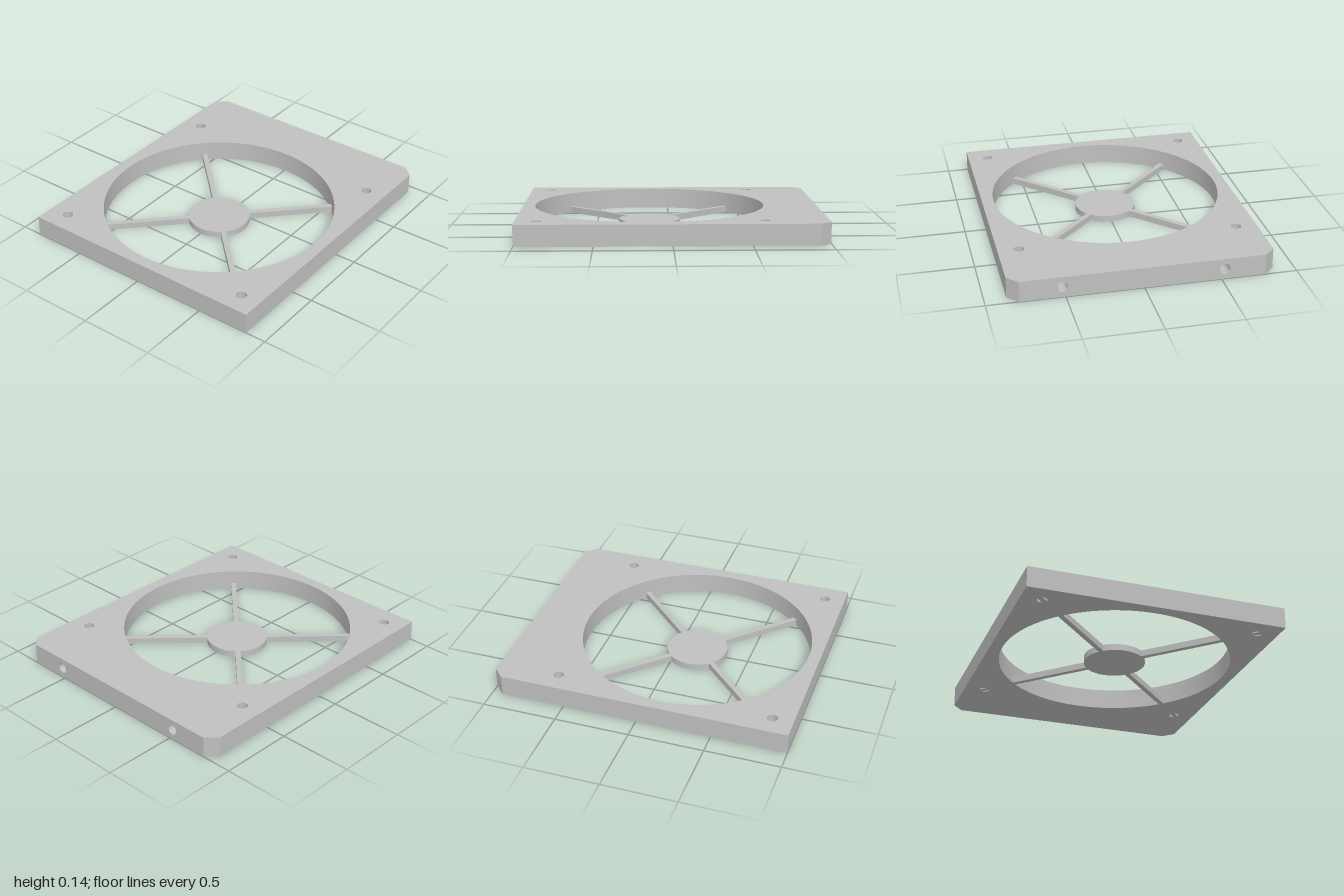
import * as THREE from 'three';
import { toCreasedNormals } from 'three/addons/utils/BufferGeometryUtils.js';

const HEIGHT = 0.14, HALF_Z = 0.86, CHAMFER = 0.07;
const CENTRE_X = -0.14, OPENING_R = 0.78;
const HUB_R = 0.207, SPOKE_H = 0.043, SPOKE_W = 0.035;
const SCREW_OFFSET = 0.722, HOLE_R = 0.034;
const SIDE_HOLE_Z = 0.52, SIDE_HOLE_R = 0.035, SIDE_HOLE_DEPTH = 0.14;

function circle(x, y, r) {
  return new THREE.Path().absarc(x, y, r, 0, Math.PI * 2, true);
}

// Removes the triangles lying in the plane x = 1
function dropSideFace(geometry) {
  const p = geometry.attributes.position, kept = [];
  for (let i = 0; i < p.count; i += 3) {
    if ([0, 1, 2].every(k => p.getX(i + k) > 0.9999)) continue;
    for (let k = 0; k < 3; k++) kept.push(p.getX(i + k), p.getY(i + k), p.getZ(i + k));
  }
  const result = new THREE.BufferGeometry();
  result.setAttribute('position', new THREE.Float32BufferAttribute(kept, 3));
  result.computeVertexNormals();
  return result;
}

export function createModel() {
  const group = new THREE.Group();
  group.name = 'fanFrame';
  const grey = new THREE.MeshStandardMaterial({ color: 0xc0c0c0 });
  grey.name = 'grey';

  function add(name, geometry, parent = group) {
    const mesh = new THREE.Mesh(geometry, grey);
    mesh.name = name;
    parent.add(mesh);
    return mesh;
  }

  // Plate with two cut corners, a round opening and four screw holes
  const outline = new THREE.Shape([
    [-1, -HALF_Z], [1 - CHAMFER, -HALF_Z], [1, -HALF_Z + CHAMFER],
    [1, HALF_Z - CHAMFER], [1 - CHAMFER, HALF_Z], [-1, HALF_Z],
  ].map(([x, y]) => new THREE.Vector2(x, y)));
  outline.holes.push(circle(CENTRE_X, 0, OPENING_R));
  for (const sx of [-1, 1]) for (const sz of [-1, 1]) {
    outline.holes.push(circle(CENTRE_X + sx * SCREW_OFFSET, sz * SCREW_OFFSET, HOLE_R));
  }
  const plate = new THREE.ExtrudeGeometry(outline, { depth: HEIGHT, bevelEnabled: false, curveSegments: 64 });
  plate.rotateX(-Math.PI / 2);
  add('plate', toCreasedNormals(dropSideFace(plate), 0.5));

  // Side face with two blind holes
  const w = HALF_Z - CHAMFER;
  const side = new THREE.Shape([
    new THREE.Vector2(-w, 0), new THREE.Vector2(w, 0),
    new THREE.Vector2(w, HEIGHT), new THREE.Vector2(-w, HEIGHT),
  ]);
  for (const s of [-1, 1]) side.holes.push(circle(s * SIDE_HOLE_Z, HEIGHT / 2, SIDE_HOLE_R));
  add('sideFace', new THREE.ShapeGeometry(side, 32).rotateY(Math.PI / 2).translate(1, 0, 0));

  for (const s of [-1, 1]) {
    const hole = new THREE.Group();
    hole.name = 'sideHole';
    hole.position.set(1, HEIGHT / 2, s * SIDE_HOLE_Z);
    // Lathe profile run downwards so the wall faces inwards
    const bore = new THREE.LatheGeometry(
      [new THREE.Vector2(SIDE_HOLE_R, 0), new THREE.Vector2(SIDE_HOLE_R, -SIDE_HOLE_DEPTH)], 32);
    add('sideHoleWall', bore.rotateZ(-Math.PI / 2), hole);
    const floor = new THREE.CircleGeometry(SIDE_HOLE_R, 32).rotateY(Math.PI / 2);
    add('sideHoleFloor', floor.translate(-SIDE_HOLE_DEPTH, 0, 0), hole);
    group.add(hole);
  }

  // Hub disc, flush with the underside
  add('hub', new THREE.CylinderGeometry(HUB_R, HUB_R, SPOKE_H, 64))
    .position.set(CENTRE_X, SPOKE_H / 2, 0);

  // Diagonal spokes running out across the screw holes
  const inner = HUB_R - 0.01, outer = SCREW_OFFSET * Math.SQRT2 + 0.06;
  for (let i = 0; i < 4; i++) {
    const spoke = new THREE.BoxGeometry(outer - inner, SPOKE_H, SPOKE_W);
    spoke.translate((inner + outer) / 2, SPOKE_H / 2, 0);
    const mesh = add('spoke', spoke);
    mesh.position.x = CENTRE_X;
    mesh.rotation.y = Math.PI / 4 + i * Math.PI / 2;
  }

  return group;
}
